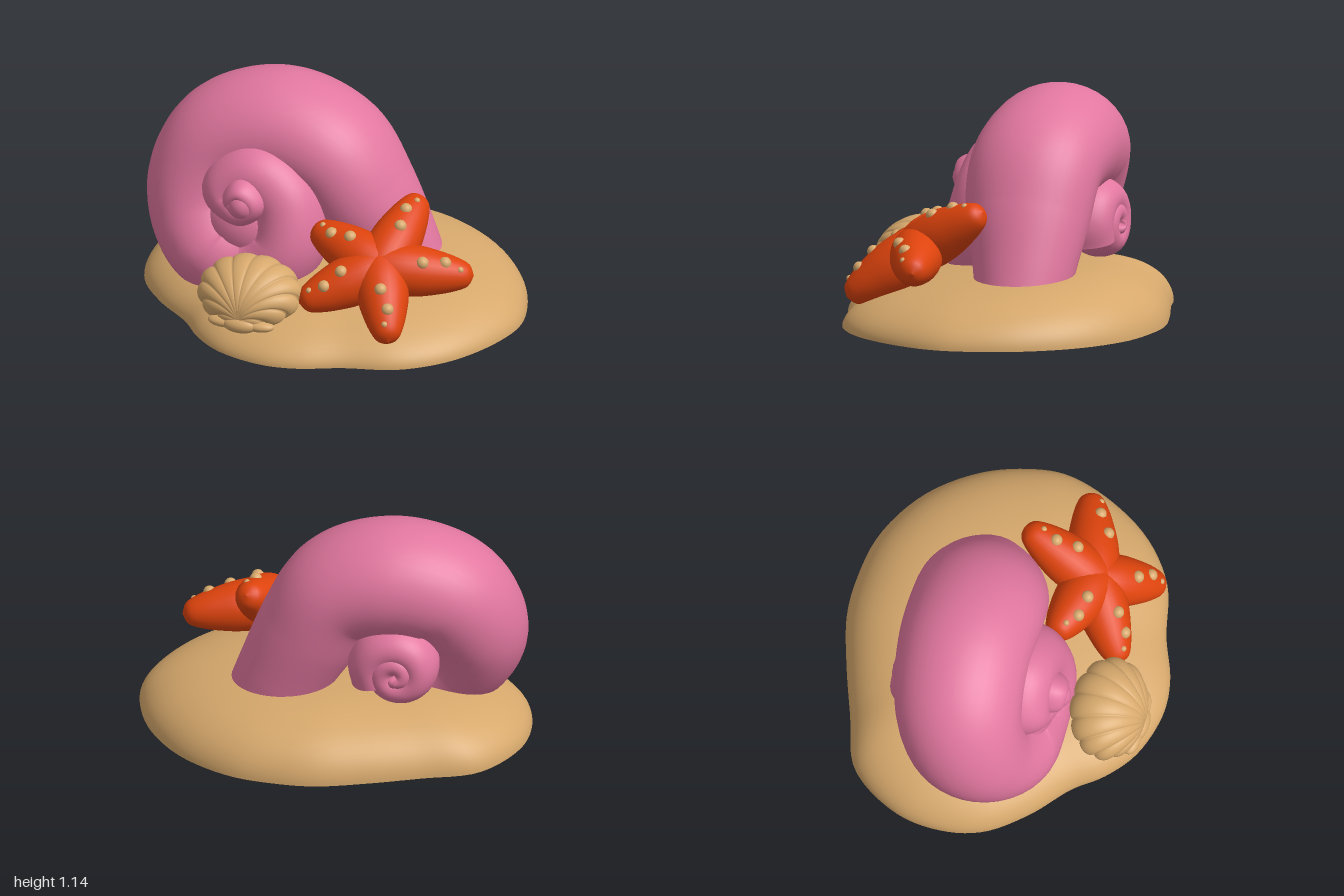
import * as THREE from 'three';
import { mergeVertices } from 'three/addons/utils/BufferGeometryUtils.js';

const V = (x, y, z) => new THREE.Vector3(x, y, z);

// Smooth surface from a rule fn(u, v), u and v in 0..1; du x dv points outward
function surface(nu, nv, fn) {
  const pos = [], idx = [];
  for (let i = 0; i <= nu; i++)
    for (let j = 0; j <= nv; j++) pos.push(...fn(i / nu, j / nv).toArray());
  for (let i = 0; i < nu; i++)
    for (let j = 0; j < nv; j++) {
      const a = i * (nv + 1) + j, b = a + nv + 1;
      idx.push(a, b, a + 1, b, b + 1, a + 1);
    }
  let g = new THREE.BufferGeometry();
  g.setAttribute('position', new THREE.Float32BufferAttribute(pos, 3));
  g.setIndex(idx);
  g = mergeVertices(g, 1e-5);
  g.computeVertexNormals();
  return g;
}

// Coiled tube through keys [x, y, z, radial half-width, depth half-width]
function coil(keys, steps) {
  const path = new THREE.CatmullRomCurve3(keys.map(k => V(k[0], k[1], k[2])));
  const size = new THREE.CatmullRomCurve3(keys.map(k => V(k[3], k[4], 0)), false, 'catmullrom', 0.5);
  return surface(steps, 40, (u, v) => {
    const c = path.getPoint(u), s = size.getPoint(u);
    const t = path.getPoint(Math.min(1, u + 0.002)).sub(path.getPoint(Math.max(0, u - 0.002)));
    t.z = 0;
    t.normalize();
    const a = (v % 1) * Math.PI * 2;
    const r = s.x * Math.cos(a), d = s.y * Math.sin(a);
    c.add(V(t.y * r, -t.x * r, d));
    c.y = Math.max(c.y, 0.03);
    return c;
  });
}

export function createModel() {
  const model = new THREE.Group();
  const mat = (name, color) => {
    const m = new THREE.MeshStandardMaterial({ color });
    m.name = name;
    return m;
  };
  const sand = mat('sand', 0xd6a86c);
  const pink = mat('shellPink', 0xe2779f);
  const orange = mat('starOrange', 0xde430c);
  const add = (name, geo, material, parent = model) => {
    const m = new THREE.Mesh(geo, material);
    m.name = name;
    parent.add(m);
    return m;
  };
  const ellipsoid = (name, material, parent, [x, y, z], [sx, sy, sz]) => {
    const m = add(name, new THREE.SphereGeometry(1, 32, 22), material, parent);
    m.position.set(x, y, z);
    m.scale.set(sx, sy, sz);
    return m;
  };

  // Sand mound: outline seen from above, domed, with a flat underside
  const outline = new THREE.CatmullRomCurve3([
    [-1, -0.08], [-0.97, -0.32], [-0.8, -0.58], [-0.53, -0.68], [-0.26, -0.775], [-0.02, -0.84],
    [0.17, -0.845], [0.43, -0.8], [0.7, -0.64], [0.89, -0.4], [0.98, -0.16], [1, 0.03],
    [0.93, 0.27], [0.78, 0.51], [0.57, 0.67], [0.3, 0.74], [0.085, 0.82], [-0.1, 0.835],
    [-0.34, 0.765], [-0.5, 0.64], [-0.61, 0.5], [-0.8, 0.33], [-0.95, 0.13],
  ].map(p => V(p[0], 0, p[1])), true);
  const rim = u => outline.getPoint(u % 1);
  add('sandMound', surface(120, 28, (u, v) => {
    const s = Math.sin(v * Math.PI / 2);
    const p = rim(u).multiplyScalar(s);
    p.y = v === 1 ? 0 : (0.262 - 0.08 * p.z) * Math.pow(Math.max(0, 1 - Math.pow(s, 3.2)), 0.53);
    return p;
  }), sand);
  add('moundUnderside', surface(120, 1, (u, v) => rim(u).multiplyScalar(1 - v)), sand);

  // Snail shell: one big whorl from the mouth that coils inward toward the front
  const shell = new THREE.Group();
  shell.name = 'snailShell';
  model.add(shell);
  add('mainCoil', coil([
    [0.31, 0.1, -0.19, 0.24, 0.23], [0.245, 0.28, -0.18, 0.24, 0.26], [0.11, 0.54, -0.15, 0.27, 0.32],
    [-0.04, 0.765, -0.14, 0.28, 0.34], [-0.32, 0.845, -0.14, 0.3, 0.34], [-0.59, 0.75, -0.1, 0.295, 0.33],
    [-0.68, 0.52, -0.02, 0.29, 0.32], [-0.59, 0.3, 0.09, 0.26, 0.31], [-0.35, 0.22, 0.12, 0.25, 0.29],
    [-0.18, 0.38, 0.15, 0.2, 0.25], [-0.2, 0.6, 0.15, 0.18, 0.2], [-0.35, 0.72, 0.15, 0.16, 0.18],
    [-0.48, 0.63, 0.18, 0.14, 0.17], [-0.38, 0.56, 0.23, 0.085, 0.16], [-0.305, 0.63, 0.25, 0.072, 0.15],
    [-0.37, 0.695, 0.26, 0.066, 0.15], [-0.425, 0.64, 0.27, 0.05, 0.13], [-0.385, 0.6, 0.28, 0.035, 0.1],
    [-0.37, 0.63, 0.28, 0.002, 0.002],
  ], 260), pink, shell);
  ellipsoid('coilTip', pink, shell, [-0.36, 0.63, 0.27], [0.1, 0.105, 0.155]);
  ellipsoid('coilCore', pink, shell, [-0.38, 0.44, 0.08], [0.28, 0.24, 0.27]);

  // Small coil in the hollow on the back
  const backKeys = [];
  for (let i = 0; i <= 18; i++) {
    const k = i / 18, a = -0.6 + k * Math.PI * 4, last = i === 18;
    const r = 0.135 * Math.pow(1 - k, 0.9) + 0.008;
    backKeys.push([-0.36 + r * Math.cos(a), 0.45 + r * Math.sin(a), -0.31 - 0.11 * k,
      last ? 0.002 : 0.125 - 0.08 * k, last ? 0.002 : 0.17 - 0.09 * k]);
  }
  add('backCoil', coil(backKeys, 140), pink, shell);

  // Starfish leaning on the shell: five tapered arms with dots along the upper side
  const star = new THREE.Group();
  star.name = 'starfish';
  model.add(star);
  const centre = V(0.37, 0.385, 0.34), up = V(0.171, 0.808, 0.563).normalize();
  const profile = new THREE.SplineCurve([
    [0, -0.1], [0.1, -0.06], [0.132, 0.06], [0.13, 0.18], [0.112, 0.28], [0.087, 0.37], [0.055, 0.435], [0, 0.46],
  ].map(p => new THREE.Vector2(...p))).getPoints(28).map(p => new THREE.Vector2(Math.max(0, p.x), p.y));
  const tips = [[0.46, 0.62, -0.045], [0.82, 0.345, 0.2], [0.52, 0.145, 0.665], [0.02, 0.24, 0.575], [-0.02, 0.5, 0.24]];
  tips.forEach((tip, i) => {
    const dir = V(...tip).sub(centre), len = dir.length();
    dir.normalize();
    const arm = add('starArm' + (i + 1), new THREE.LatheGeometry(profile, 28), orange, star);
    arm.position.copy(centre);
    arm.quaternion.setFromUnitVectors(V(0, 1, 0), dir);
    arm.scale.y = len / 0.46;
    const out = up.clone().addScaledVector(dir, -up.dot(dir)).normalize();
    const side = dir.clone().cross(out);
    [[0.44, 0.032, 0.012], [0.68, 0.032, -0.012], [0.85, 0.016, 0.01]].forEach(([t, r, off]) => {
      const y = t * 0.46, lift = y < 0.18 ? 0.132 : 0.13 - (y - 0.18) * 0.24;
      const p = centre.clone().addScaledVector(dir, len * t).addScaledVector(out, lift - 0.008).addScaledVector(side, off);
      ellipsoid('starDot', sand, star, p.toArray(), [r, r, r]);
    });
  });
  const core = ellipsoid('starCentre', orange, star, centre.toArray(), [0.2, 0.12, 0.2]);
  core.quaternion.setFromUnitVectors(V(0, 1, 0), up);

  // Scallop: two ribbed domes whose ribs spread up and back from the hinge
  const scallop = new THREE.Group();
  scallop.name = 'scallop';
  model.add(scallop);
  const middle = V(-0.238, 0.265, 0.585), along = V(0, 0.5, -0.866), normal = V(0, 0.866, 0.5);
  const dome = (height, flip) => (u, v) => {
    const a = (u * 2 - 1) * Math.PI * flip, s = Math.sin(v * Math.PI / 2);
    const x = Math.sin(a) * s, y = (0.98 + Math.cos(a)) * s - 0.98;
    const rib = Math.sqrt(Math.abs(Math.sin(u * Math.PI * 12)));
    const swell = 1 + 0.09 * (rib - 0.7) * s;
    return middle.clone().add(V(0.265 * x * swell, 0, 0))
      .addScaledVector(along, 0.205 * y * swell)
      .addScaledVector(normal, height * Math.sqrt(Math.max(0, 1 - x * x - y * y)) * swell);
  };
  add('scallopTop', surface(168, 26, dome(0.165, 1)), sand, scallop);
  add('scallopBottom', surface(168, 14, dome(-0.08, -1)), sand, scallop);
  ellipsoid('scallopEar', sand, scallop, [-0.325, 0.165, 0.735], [0.085, 0.03, 0.045]);
  ellipsoid('scallopEar', sand, scallop, [-0.145, 0.165, 0.735], [0.085, 0.03, 0.045]);
  ellipsoid('scallopHinge', sand, scallop, [-0.235, 0.165, 0.755], [0.09, 0.042, 0.045]);

  return model;
}
